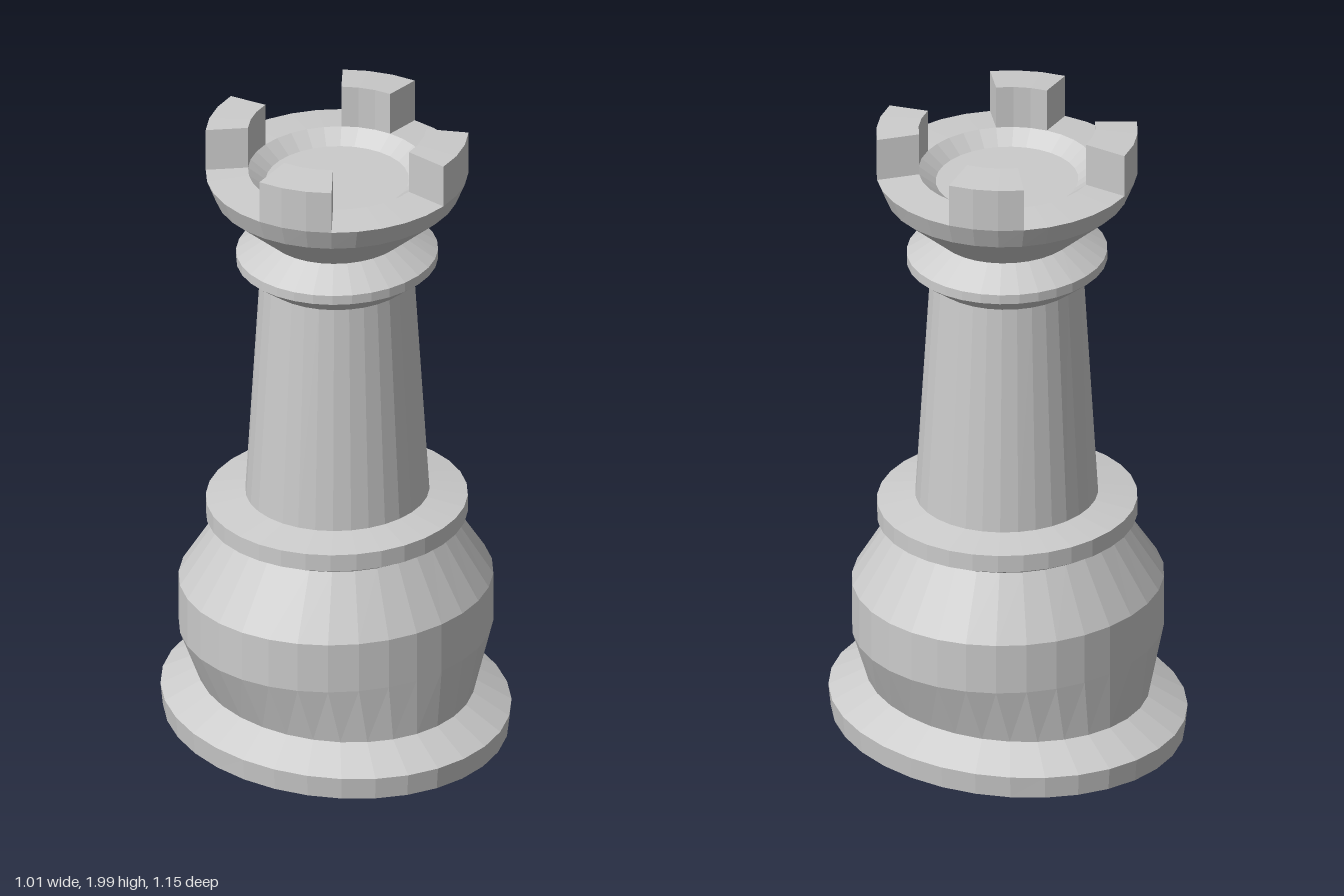
import * as THREE from 'three';

const SIDES = 32;
const material = new THREE.MeshStandardMaterial({ color: 0xcccccc, flatShading: true });

// Point on a horizontal ellipse; ring = [rx, rz, y, cx]
function ringPoint([rx, rz, y, cx = 0], i) {
  const a = (i / SIDES) * Math.PI * 2;
  return [cx + rx * Math.cos(a), y, -rz * Math.sin(a)];
}

const quad = (out, a, b, c, d) => out.push(...a, ...b, ...c, ...a, ...c, ...d);

// Skin a stack of rings from segment start to segment end
function skin(rings, start = 0, end = SIDES) {
  const out = [];
  for (let k = 0; k < rings.length - 1; k++) {
    for (let i = start; i < end; i++) {
      quad(out, ringPoint(rings[k], i), ringPoint(rings[k], i + 1),
        ringPoint(rings[k + 1], i + 1), ringPoint(rings[k + 1], i));
    }
  }
  return out;
}

function makeMesh(name, positions) {
  const geometry = new THREE.BufferGeometry();
  geometry.setAttribute('position', new THREE.Float32BufferAttribute(positions, 3));
  geometry.computeVertexNormals();
  const mesh = new THREE.Mesh(geometry, material);
  mesh.name = name;
  return mesh;
}

export function createModel() {
  const model = new THREE.Group();
  model.name = 'chessRook';

  // Oval cross-sections, bottom to top; neighbouring parts share a ring
  const bodyFoot = [0.40, 0.457, 0.148];
  const bodyTop = [0.355, 0.347, 0.678, 0.003];
  const shaftFoot = [0.279, 0.269, 0.775, 0.005];
  const shaftTop = [0.233, 0.228, 1.505, 0.004];
  const neck = [0.213, 0.203, 1.65, 0.004];
  const rimOuter = [0.397, 0.387, 1.855, 0.004];
  const rimInner = [0.27, 0.26, 1.865, 0.004];

  const parts = {
    base: [[0, 0, 0.015], [0.498, 0.57, 0.015], [0.505, 0.577, 0.085], bodyFoot],
    body: [bodyFoot, [0.478, 0.457, 0.33], [0.478, 0.457, 0.49], bodyTop],
    lowerCollar: [bodyTop, [0.397, 0.383, 0.70, 0.003], [0.397, 0.383, 0.755, 0.003], shaftFoot],
    shaft: [shaftFoot, shaftTop],
    upperCollar: [shaftTop, [0.306, 0.295, 1.56, 0.004], [0.306, 0.295, 1.59, 0.004], neck],
    head: [neck, [0.37, 0.357, 1.785, 0.004], rimOuter, rimInner,
      [0.217, 0.21, 1.825, 0.004], [0, 0, 1.825, 0.004]],
  };
  for (const [name, rings] of Object.entries(parts)) model.add(makeMesh(name, skin(rings)));

  // Four battlements, each spanning three segments of the rim
  const topOuter = [...rimOuter], topInner = [...rimInner];
  topOuter[2] = 1.99;
  topInner[2] = 2;
  const section = [rimOuter, topOuter, topInner, rimInner];
  for (let k = 0; k < 4; k++) {
    const start = 2 + k * 8, end = start + 3;
    const positions = skin(section, start, end);
    quad(positions, ...section.map((r) => ringPoint(r, start)));
    quad(positions, ...section.map((r) => ringPoint(r, end)).reverse());
    model.add(makeMesh('battlement' + (k + 1), positions));
  }
  return model;
}
